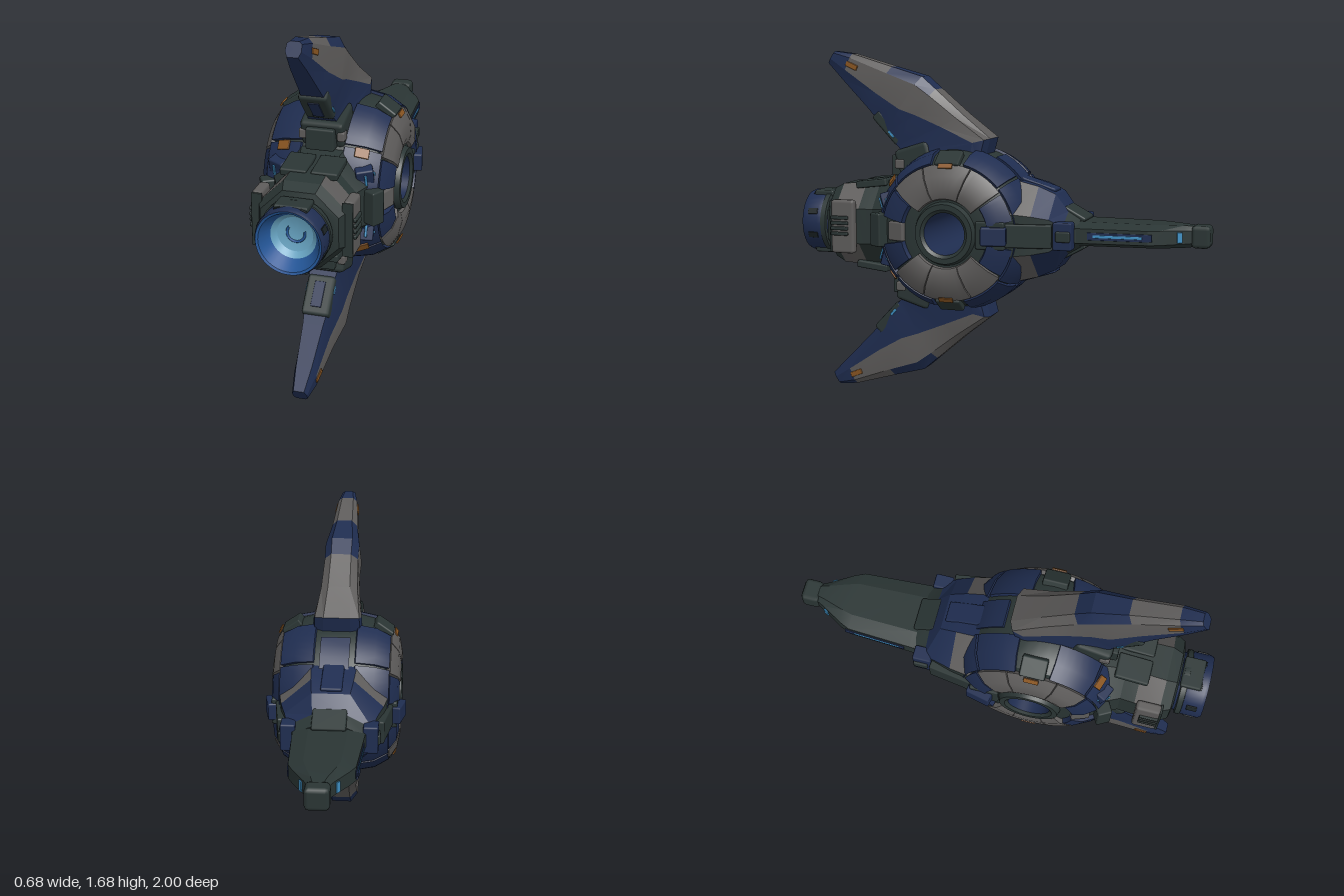
import * as THREE from 'three';
import { toCreasedNormals } from 'three/addons/utils/BufferGeometryUtils.js';
import { RoundedBoxGeometry } from 'three/addons/geometries/RoundedBoxGeometry.js';

const mat = (name, color) => Object.assign(new THREE.MeshStandardMaterial({ color }), { name });
const navy = mat('navy armour', 0x1f2d50);
const grey = mat('grey armour', 0x5e5c5b);
const dark = mat('dark frame', 0x2a3534);
const black = mat('black recess', 0x1a2224);
const orange = mat('orange marker', 0x8a5622);
const cyan = mat('cyan light', 0x3f90c4);
const pale = mat('pale lens', 0x66a2c0);
const lensBlue = mat('lens rim blue', 0x235596);

const CY = 0.84, CZ = 0.2; // height of the long axis, depth of the hub
const rad = THREE.MathUtils.degToRad;
const V = (x, y, z) => new THREE.Vector3(x, y, z);

// Closed skin over rings of points; pick(i, j) gives the material of each quad
function skin(name, rings, pick, { loop = false, crease = 0.5 } = {}) {
  const n = rings[0].length, lists = new Map();
  const add = (m, ...p) => { if (!lists.has(m)) lists.set(m, []); lists.get(m).push(p); };
  const last = loop ? rings.length : rings.length - 1;
  for (let i = 0; i < last; i++) {
    const A = rings[i], B = rings[(i + 1) % rings.length];
    for (let j = 0; j < n; j++) {
      const k = (j + 1) % n, m = pick(i, j);
      add(m, A[j], A[k], B[k]);
      add(m, A[j], B[k], B[j]);
    }
  }
  if (!loop) [0, last].forEach((e, end) => {
    const R = rings[e], c = V(0, 0, 0);
    R.forEach((p) => c.addScaledVector(p, 1 / n));
    for (let j = 0; j < n; j++) {
      const k = (j + 1) % n, m = pick(end ? last - 1 : 0, j);
      end ? add(m, c, R[j], R[k]) : add(m, c, R[k], R[j]);
    }
  });
  // Faces point outwards when the enclosed volume is positive
  let vol = 0;
  lists.forEach((t) => t.forEach(([a, b, c]) => { vol += a.dot(b.clone().cross(c)); }));
  const pts = [], mats = [], geo = new THREE.BufferGeometry();
  lists.forEach((t, m) => {
    geo.addGroup(pts.length, t.length * 3, mats.length);
    mats.push(m);
    t.forEach(([a, b, c]) => pts.push(...(vol > 0 ? [a, b, c] : [a, c, b])));
  });
  geo.setFromPoints(pts);
  const mesh = new THREE.Mesh(toCreasedNormals(geo, crease), mats.length > 1 ? mats : mats[0]);
  mesh.name = name;
  return mesh;
}

function box(name, m, size, pos, rot = [0, 0, 0], bevel = 0.008) {
  const b = Math.min(bevel, Math.min(...size) * 0.3);
  const mesh = new THREE.Mesh(new RoundedBoxGeometry(...size, 1, b), m);
  mesh.name = name;
  mesh.position.set(...pos);
  mesh.rotation.set(...rot);
  return mesh;
}

// Lathe around the long z axis; profile points are [radius, z]
function turned(name, m, pts, segs = 32) {
  const g = new THREE.LatheGeometry(pts.map((p) => new THREE.Vector2(...p)), segs).rotateX(Math.PI / 2);
  const mesh = new THREE.Mesh(toCreasedNormals(g, 0.5), m);
  mesh.name = name;
  return mesh;
}

const hubPoint = (x, r, a) => V(x, r * Math.sin(a), CZ + r * Math.cos(a));

// Raised armour plate following the hub, between two angles in degrees
function hubPlate(name, m, profile, a0, a1, side) {
  const rings = [];
  for (let s = 0; s <= 6; s++) {
    const a = rad(a0 + ((a1 - a0) * s) / 6);
    rings.push([...profile.map(([x, r]) => hubPoint(side * x, r, a)),
      ...[...profile].reverse().map(([x, r]) => hubPoint(side * x * 0.9, r * 0.94, a))]);
  }
  return skin(name, rings, () => m);
}

// Part lying on the hub surface; its z size runs around the hub
function hubMarker(name, m, size, x, r, deg, lean) {
  const a = rad(deg), mesh = box(name, m, size, hubPoint(x, r, a).toArray());
  const up = V(lean, Math.sin(a), Math.cos(a)).normalize(), along = V(0, Math.cos(a), -Math.sin(a));
  mesh.quaternion.setFromRotationMatrix(new THREE.Matrix4().makeBasis(up.clone().cross(along), up, along));
  return mesh;
}

function hub() {
  const g = new THREE.Group();
  g.name = 'hub';
  // Core with the hole running from side to side
  const half = [[0.3, 0.1], [0.312, 0.115], [0.312, 0.14], [0.285, 0.15], [0.285, 0.2], [0.27, 0.27], [0.235, 0.33], [0.18, 0.362], [0.1, 0.38]];
  const prof = [...half, ...half.map(([x, r]) => [-x, r]).reverse()];
  const rings = prof.map(([x, r]) => Array.from({ length: 48 }, (_, j) => hubPoint(x, r, (j / 48) * Math.PI * 2)));
  g.add(skin('hubCore', rings, (i) => (i === prof.length - 1 ? navy : dark), { loop: true }));
  const face = [[0.3, 0.165], [0.31, 0.2], [0.297, 0.27], [0.262, 0.325]];
  const faceOuter = [[0.306, 0.215], [0.296, 0.27], [0.262, 0.325]];
  const shell = [[0.258, 0.333], [0.19, 0.374], [0.1, 0.392]];
  for (const s of [1, -1]) {
    for (const base of [0, 180]) {
      for (const [a, b] of [[38, 68], [69, 111], [112, 142]]) g.add(hubPlate('facePlate', grey, face, base + a, base + b, s));
      for (const [a, b] of [[-36, -12], [12, 36]]) g.add(hubPlate('faceSidePlate', navy, faceOuter, base + a, base + b, s));
      for (const [a, b] of [[9, 40], [42, 76], [104, 138], [140, 171]]) g.add(hubPlate('shellPlate', navy, shell, base + a, base + b, s));
    }
    for (const u of [1, -1]) {
      g.add(hubMarker('edgeBlock', dark, [0.1, 0.04, 0.12], s * 0.22, 0.34, u * 90, s * 0.7));
      g.add(hubMarker('edgeMarker', orange, [0.025, 0.008, 0.07], s * 0.281, 0.316, u * 90, s * 1.6));
      g.add(hubMarker('frontMarker', orange, [0.065, 0.009, 0.045], s * 0.18, 0.382, u * 37, s * 0.45));
    }
    // Blocks on the mid line
    g.add(box('frontBlock', grey, [0.06, 0.09, 0.09], [s * 0.262, 0, 0.44], [0, s * -0.35, 0]));
    g.add(box('rearClamp', dark, [0.06, 0.13, 0.14], [s * 0.27, 0, -0.02]));
    g.add(box('sidePod', navy, [0.06, 0.085, 0.12], [s * 0.298, 0, -0.04], [0, s * 0.22, 0]));
  }
  // Plates on the centre line behind each wing
  for (const base of [0, 180]) {
    const [a, b] = base ? [195, 242] : [118, 165];
    g.add(hubPlate('rearCrestPlate', navy, [[0.07, 0.393], [-0.07, 0.393]], a, b, 1));
  }
  return g;
}

function wing() {
  const g = new THREE.Group();
  g.name = 'wing';
  // [inner z, inner y, outer z, outer y, half width, end of the inner colour band]
  const st = [[0.9, 0.78, 0.865, 0.838, 0.035, 0.38], [0.82, 0.7, 0.77, 0.826, 0.052, 0.38], [0.68, 0.56, 0.56, 0.765, 0.068, 0.38],
    [0.58, 0.45, 0.4, 0.72, 0.09, 0.42], [0.53, 0.39, 0.33, 0.66, 0.088, 0.54], [0.5, 0.36, 0.19, 0.54, 0.095, 0.68],
    [0.46, 0.33, 0.05, 0.43, 0.115, 0.82], [0.42, 0.26, 0.08, 0.32, 0.12, 0.82]];
  const rings = st.map(([iz, iy, oz, oy, w, band]) => {
    const cut = [[0, 0.7], [band, 1], [band + (1 - band) * 0.75, 0.92], [1, 0.55]];
    const p = (s) => ([t, f]) => V(s * w * f, iy + (oy - iy) * t, iz + (oz - iz) * t);
    return [...cut.map(p(1)), ...cut.map(p(-1)).reverse()];
  });
  g.add(skin('wingBlade', rings, (i, j) => {
    if (i === 0 || i === 6 || j === 0 || j === 6 || j === 7) return navy;
    const ridge = j >= 2 && j <= 4;
    return ridge && (i === 2 || i === 3) ? navy : grey;
  }, { crease: 0.3 }));
  // Dark root and the block along the inner edge
  g.add(box('wingRoot', dark, [0.2, 0.13, 0.18], [0, 0.325, 0.43], [0.3, 0, 0], 0.02));
  g.add(box('edgeGun', dark, [0.13, 0.06, 0.19], [0, 0.47, 0.575], [-0.82, 0, 0], 0.015));
  g.add(box('edgeGunInlay', navy, [0.05, 0.008, 0.12], [0, 0.448, 0.596], [-0.82, 0, 0]));
  g.add(box('frontHinge', dark, [0.13, 0.1, 0.09], [0, 0.29, 0.51]));
  for (const s of [1, -1]) {
    g.add(box('wingMarker', orange, [0.009, 0.025, 0.065], [s * 0.053, 0.768, 0.765], [-0.4, s * -0.1, 0]));
    g.add(box('gunLight', cyan, [0.006, 0.012, 0.04], [s * 0.066, 0.44, 0.555], [-0.82, 0, 0]));
    g.add(box('hingePin', grey, [0.035, 0.045, 0.05], [s * 0.088, 0.3, 0.5]));
  }
  return g;
}

// Eight-sided ring with flat top and sides
const octagon = ([z, w, h]) => Array.from({ length: 8 }, (_, j) => {
  const a = rad(22.5 + 45 * j), k = 1 / Math.cos(rad(22.5));
  return V(w * k * Math.cos(a), h * k * Math.sin(a), z);
});

function cannon() {
  const g = new THREE.Group();
  g.name = 'frontCannon';
  const st = [[0.42, 0.25, 0.24], [0.52, 0.23, 0.23], [0.61, 0.185, 0.205], [0.68, 0.19, 0.205], [0.8, 0.2, 0.195], [0.85, 0.175, 0.17], [0.86, 0.14, 0.14]];
  g.add(skin('cannonHousing', st.map(octagon), (i, j) => (i === 3 && j % 2 === 0 ? grey : dark), { crease: 0.3 }));
  g.add(turned('barrel', navy, [[0.13, 0.84], [0.15, 0.89], [0.153, 0.92], [0.153, 0.985], [0.146, 1]]));
  g.add(turned('barrelBand', dark, [[0.14, 0.87], [0.157, 0.875], [0.157, 0.9], [0.14, 0.905]]));
  g.add(turned('lensRim', lensBlue, [[0.146, 1], [0.135, 0.995], [0.102, 0.93]]));
  g.add(turned('lensBowl', pale, [[0.102, 0.93], [0.08, 0.905], [0.04, 0.892], [0.0001, 0.89]]));
  const swirl = new THREE.Mesh(new THREE.TorusGeometry(0.04, 0.006, 6, 20, 4.2), lensBlue);
  swirl.name = 'lensSwirl';
  swirl.position.z = 0.893;
  swirl.rotation.z = 2.4;
  g.add(swirl);
  for (let i = 0; i < 8; i++) {
    const a = rad(22.5 + 45 * i);
    g.add(box('barrelSlot', black, [0.008, 0.03, 0.05], [0.153 * Math.cos(a), 0.153 * Math.sin(a), 0.945], [0, 0, a]));
  }
  for (const s of [1, -1]) {
    g.add(box('sideArmour', grey, [0.05, 0.26, 0.12], [s * 0.205, 0, 0.75], [0, 0, 0], 0.015));
    g.add(box('sideArmourFront', dark, [0.05, 0.25, 0.012], [s * 0.203, 0, 0.81]));
    for (let k = 0; k < 4; k++) g.add(box('vent', dark, [0.02, 0.017, 0.09], [s * 0.231, -0.033 + k * 0.026, 0.762]));
    g.add(box('sideFin', dark, [0.09, 0.16, 0.07], [s * 0.235, 0, 0.54], [0, s * -0.5, 0]));
    for (const u of [1, -1]) {
      g.add(box('cheek', navy, [0.08, 0.08, 0.09], [s * 0.19, u * 0.14, 0.51], [u * 0.3, s * 0.4, 0]));
      g.add(box('cheekLight', cyan, [0.008, 0.025, 0.035], [s * 0.234, u * 0.14, 0.5], [u * 0.3, s * 0.4, 0]));
      g.add(box('frontLight', cyan, [0.012, 0.055, 0.008], [s * 0.212, u * 0.122, 0.553], [u * 0.3, s * 0.4, 0]));
      g.add(box('topArmour', dark, [0.12, 0.035, 0.16], [s * 0.07, u * 0.203, 0.64], [u * 0.12, 0, 0]));
    }
  }
  // Dark covers above and below the barrel
  for (const u of [1, -1]) g.add(box('barrelCover', dark, [0.15, 0.03, 0.1], [0, u * 0.14, 0.915], [0, 0, 0], 0.012));
  return g;
}

function tail() {
  const g = new THREE.Group();
  g.name = 'tail';
  const st = [[0.02, 0.27, 0.28], [-0.08, 0.262, 0.245], [-0.2, 0.24, 0.215], [-0.28, 0.215, 0.18], [-0.34, 0.195, 0.1], [-0.4, 0.165, 0.07]];
  g.add(skin('tailCone', st.map(octagon), (i, j) => {
    if (j === 3 || j === 7 || i > 3) return dark;
    return j % 2 === 0 && i === 1 ? grey : navy;
  }, { crease: 0.3 }));
  // Flat boom: wide plate with chamfered edges, narrowing to the tip
  const boom = [[-0.34, 0.17, 0.06], [-0.42, 0.165, 0.057], [-0.73, 0.148, 0.055], [-0.78, 0.125, 0.055], [-0.88, 0.065, 0.052], [-0.92, 0.045, 0.048]];
  g.add(skin('tailBoom', boom.map(([z, w, h]) =>
    [[1, 0.6], [0.55, 1], [-0.55, 1], [-1, 0.6], [-1, -0.6], [-0.55, -1], [0.55, -1], [1, -0.6]].map(([x, y]) => V(x * w, y * h, z))),
  () => dark, { crease: 0.2 }));
  g.add(box('tailTip', dark, [0.11, 0.105, 0.09], [0, 0, -0.955], [0, 0, 0], 0.02));
  for (const s of [1, -1]) {
    g.add(box('boomInlay', navy, [0.006, 0.035, 0.3], [s * 0.156, 0, -0.6], [0, s * 0.055, 0]));
    g.add(box('boomLight', cyan, [0.008, 0.014, 0.23], [s * 0.157, 0, -0.59], [0, s * 0.055, 0]));
    g.add(box('tipLight', cyan, [0.008, 0.05, 0.025], [s * 0.08, 0, -0.865], [0, s * 0.54, 0]));
    g.add(box('rearBlock', navy, [0.07, 0.13, 0.09], [s * 0.19, 0, -0.345]));
    g.add(box('rearBlockBand', dark, [0.04, 0.05, 0.07], [s * 0.215, 0, -0.35]));
    g.add(box('sideRail', dark, [0.05, 0.11, 0.24], [s * 0.24, 0, -0.18], [0, s * 0.15, 0]));
  }
  for (const u of [1, -1]) {
    g.add(box('spine', navy, [0.1, 0.03, 0.2], [0, u * 0.215, -0.17], [u * -0.3, 0, 0]));
    g.add(box('spineEnd', dark, [0.16, 0.05, 0.12], [0, u * 0.075, -0.36], [u * -0.5, 0, 0]));
  }
  return g;
}

export function createModel() {
  const model = new THREE.Group();
  model.name = 'droneShip';
  const upper = wing(), lower = wing();
  upper.name = 'upperWing';
  lower.name = 'lowerWing';
  lower.rotation.z = Math.PI;
  model.add(hub(), upper, lower, cannon(), tail());
  model.children.forEach((c) => { c.position.y = CY; });
  return model;
}
